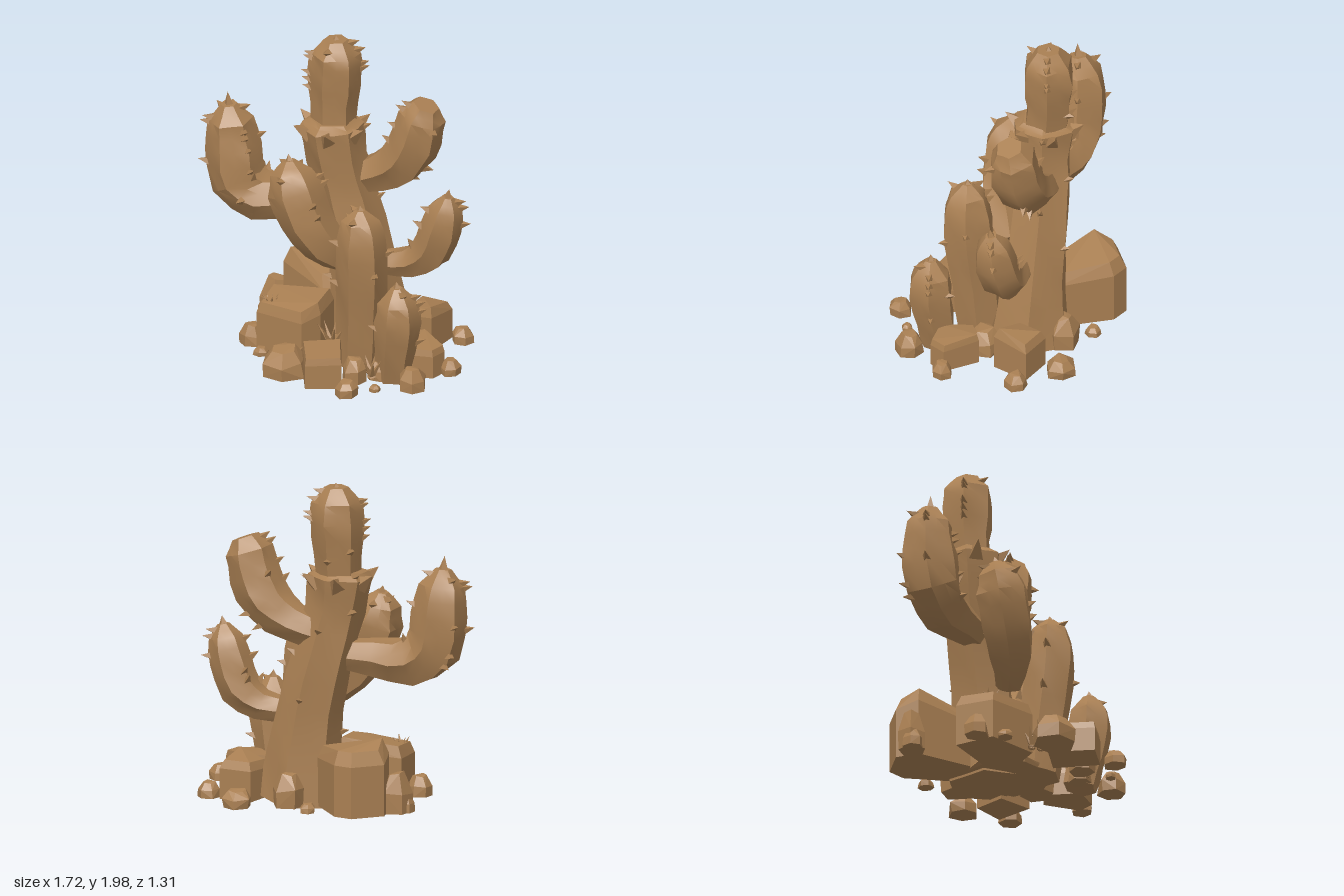
import * as THREE from 'three';
import { toCreasedNormals } from 'three/addons/utils/BufferGeometryUtils.js';
import { ConvexGeometry } from 'three/addons/geometries/ConvexGeometry.js';

const V = (x, y, z) => new THREE.Vector3(x, y, z);

export function createModel() {
  const model = new THREE.Group();
  const clay = new THREE.MeshStandardMaterial({ color: 0xaa8053 });
  clay.name = 'sandy brown';

  let seed = 7;
  const rnd = () => (seed = (seed * 16807) % 2147483647) / 2147483647;

  function add(parent, geometry, name) {
    const mesh = new THREE.Mesh(geometry, clay);
    mesh.name = name;
    parent.add(mesh);
    return mesh;
  }

  // Thorn or blade: a thin pyramid standing on pos and pointing along dir
  function spike(parent, pos, dir, radius, length, name = 'thorn') {
    const g = new THREE.ConeGeometry(radius, length, 4).toNonIndexed();
    g.translate(0, length / 2 - 0.015, 0);
    g.computeVertexNormals();
    const m = add(parent, g, name);
    m.position.copy(pos);
    m.quaternion.setFromUnitVectors(V(0, 1, 0), dir.clone().normalize());
  }

  // Ribbed limb; each row is x, y, z, radius
  function limb(name, rows, thorns, { sides = 12, rib = 0.89, tip = 0.05, from = 0.3 } = {}) {
    const group = new THREE.Group();
    group.name = name;
    const curve = new THREE.CatmullRomCurve3(rows.map(r => V(r[0], r[1], r[2])));
    const last = rows.length - 1, steps = last * 2;
    const frame = t => {
      const f = t * last, i = Math.min(Math.floor(f), last - 1);
      const r = THREE.MathUtils.lerp(rows[i][3], rows[i + 1][3], f - i);
      const T = curve.getTangent(t), N = V(0, 0, 1);
      N.addScaledVector(T, -T.z).normalize();
      return { P: curve.getPoint(t), T, N, B: T.clone().cross(N), r };
    };
    const around = (f, a) => f.N.clone().multiplyScalar(Math.cos(a)).addScaledVector(f.B, Math.sin(a));
    const rings = [];
    for (let i = 0; i <= steps; i++) {
      const f = frame(i / steps), ring = [];
      for (let j = 0; j < sides; j++) {
        const k = (j % 2 ? rib : 1.03) * (0.95 + 0.1 * rnd());
        const p = around(f, j / sides * Math.PI * 2).multiplyScalar(f.r * k).add(f.P);
        p.y = Math.max(p.y, 0.005);
        ring.push(p);
      }
      rings.push(ring);
    }
    const pts = [], start = frame(0).P, end = frame(1).P;
    for (let j = 0; j < sides; j++) {
      const n = (j + 1) % sides;
      for (let i = 0; i < steps; i++) {
        const a = rings[i][j], b = rings[i][n], c = rings[i + 1][n], d = rings[i + 1][j];
        pts.push(a, b, d, b, c, d);
      }
      pts.push(start, rings[0][n], rings[0][j], end, rings[steps][j], rings[steps][n]);
    }
    add(group, toCreasedNormals(new THREE.BufferGeometry().setFromPoints(pts), 0.5), name + 'Body');

    // Thorns scattered over the ribs
    for (let i = 0; i < thorns; i++) {
      const f = frame(from + (0.96 - from) * (i + 0.5) / thorns);
      const dir = around(f, Math.floor(rnd() * 6) * Math.PI / 3);
      spike(group, f.P.clone().addScaledVector(dir, f.r * 0.97), dir.addScaledVector(f.T, 0.3), 0.03, 0.07);
    }
    const f = frame(1);
    if (tip) spike(group, f.P, f.T, 0.035, tip + 0.015, 'tipThorn');
    model.add(group);
  }

  // Trunk: flared lower column with a ragged collar, and the crown growing out of it
  limb('trunk', [
    [0.16, 0.02, -0.18, 0.25], [0.125, 0.3, -0.185, 0.215], [0.08, 0.6, -0.185, 0.19],
    [0.0, 0.95, -0.17, 0.175], [-0.06, 1.2, -0.14, 0.175], [-0.085, 1.41, -0.13, 0.195],
    [-0.085, 1.45, -0.13, 0.13],
  ], 7, { tip: 0, from: 0.2 });
  limb('crown', [
    [-0.08, 1.3, -0.14, 0.13], [-0.085, 1.55, -0.16, 0.14], [-0.08, 1.75, -0.165, 0.16],
    [-0.075, 1.87, -0.165, 0.145], [-0.075, 1.96, -0.165, 0.07],
  ], 12, { tip: 0.025, from: 0.2 });
  for (let i = 0; i < 6; i++) {
    const a = i * Math.PI / 3 + 0.2, c = Math.cos(a), s = Math.sin(a);
    spike(model, V(-0.085 + 0.16 * c, 1.38, -0.13 + 0.16 * s), V(c, 0.7, s), 0.06, 0.12, 'collarThorn');
  }

  // Arms
  limb('rightArm', [
    [-0.05, 0.92, -0.12, 0.09], [-0.28, 0.91, -0.06, 0.115], [-0.5, 0.9, -0.01, 0.155],
    [-0.64, 1.0, 0.02, 0.175], [-0.675, 1.2, 0.02, 0.17], [-0.69, 1.38, 0.03, 0.135],
    [-0.695, 1.48, 0.04, 0.05],
  ], 16, { tip: 0.08, from: 0.35 });
  limb('frontArm', [
    [0.1, 0.6, 0.0, 0.08], [-0.01, 0.74, 0.11, 0.135], [-0.1, 0.9, 0.155, 0.16],
    [-0.165, 1.08, 0.17, 0.165], [-0.2, 1.19, 0.165, 0.12], [-0.215, 1.26, 0.16, 0.04],
  ], 8, { tip: 0.04 });
  limb('upperLeftArm', [
    [0.0, 1.05, -0.2, 0.09], [0.18, 1.115, -0.24, 0.12], [0.33, 1.22, -0.26, 0.15],
    [0.42, 1.38, -0.265, 0.155], [0.46, 1.53, -0.265, 0.14], [0.49, 1.61, -0.265, 0.08],
  ], 8, { tip: 0 });
  limb('lowerLeftArm', [
    [0.22, 0.55, -0.18, 0.07], [0.4, 0.575, -0.22, 0.095], [0.53, 0.67, -0.24, 0.125],
    [0.6, 0.83, -0.24, 0.13], [0.635, 0.97, -0.24, 0.1], [0.65, 1.05, -0.24, 0.035],
  ], 8, { tip: 0.05 });

  // Separate stems standing in front
  limb('frontStem', [
    [0.24, 0.02, 0.12, 0.14], [0.26, 0.35, 0.14, 0.145], [0.28, 0.65, 0.17, 0.155],
    [0.285, 0.85, 0.18, 0.15], [0.28, 0.98, 0.18, 0.11], [0.28, 1.05, 0.18, 0.03],
  ], 8, { tip: 0.03 });
  limb('smallStem', [
    [0.52, 0.02, 0.22, 0.1], [0.55, 0.2, 0.235, 0.12], [0.575, 0.4, 0.25, 0.135],
    [0.575, 0.53, 0.25, 0.12], [0.57, 0.63, 0.25, 0.035],
  ], 7, { tip: 0.04 });

  // Hewn boulder: convex hull over ground corners x, z, top height, drawn in toward the top
  function boulder(name, inset, corners) {
    const n = corners.length;
    const cx = corners.reduce((s, c) => s + c[0], 0) / n, cz = corners.reduce((s, c) => s + c[1], 0) / n;
    const pts = corners.flatMap(([x, z, h]) => [
      V(x, 0.02, z), V(x, h * 0.8, z), V(x + (cx - x) * inset, h, z + (cz - z) * inset)]);
    add(model, new ConvexGeometry(pts), name);
  }
  boulder('backBoulder', 0.2, [[-0.51, -0.37, 0.42], [-0.37, -0.53, 0.42], [-0.25, -0.52, 0.42],
    [0.01, -0.28, 0.39], [-0.13, -0.1, 0.39], [-0.47, -0.23, 0.47]]);
  boulder('frontBoulder', 0.12, [[-0.42, 0.02, 0.35], [-0.38, 0.27, 0.33], [-0.05, 0.31, 0.34],
    [0.01, 0.18, 0.37], [-0.02, -0.04, 0.38]]);
  boulder('frontBlock', 0.06, [[0.0, 0.39, 0.21], [0.2, 0.27, 0.22], [0.34, 0.52, 0.22], [0.15, 0.63, 0.21]]);
  boulder('leftBlock', 0.08, [[0.47, 0.0, 0.2], [0.57, -0.1, 0.22], [0.77, 0.02, 0.2], [0.75, 0.13, 0.2], [0.58, 0.18, 0.2]]);
  boulder('backBlock', 0.2, [[0.34, -0.24, 0.25], [0.36, -0.44, 0.26], [0.57, -0.44, 0.26], [0.56, -0.2, 0.3]]);

  // Faceted pebble: convex hull of three uneven rings
  function rock(x, z, w, h, d, turn = 0, sides = 6, name = 'pebble') {
    const pts = [];
    for (const [y, s] of [[0, 1], [0.55, 1], [1, 0.55]]) {
      for (let j = 0; j < sides; j++) {
        const a = (j + 0.5) / sides * Math.PI * 2, k = s * 0.53 * (1 - 0.18 * rnd());
        pts.push(V(Math.cos(a) * k * w, y ? h * (y - 0.14 * rnd()) : 0, Math.sin(a) * k * d));
      }
    }
    const m = add(model, new ConvexGeometry(pts), name);
    m.position.set(x, 0.02, z);
    m.rotation.y = turn;
  }
  rock(-0.07, 0.49, 0.28, 0.18, 0.27, 0.4, 6, 'frontRock');
  rock(0.12, -0.41, 0.2, 0.22, 0.2, 0.6, 5, 'backRock');
  rock(-0.52, -0.24, 0.2, 0.26, 0.18, 0.6, 5, 'rightRock');
  rock(0.15, -0.02, 0.6, 0.06, 0.52, 0.2, 7, 'bed');

  // Pebbles: x, z, width, height
  [[0.805, 0.01, 0.13, 0.1], [0.385, -0.565, 0.19, 0.11], [-0.06, -0.5, 0.1, 0.06],
    [0.65, -0.42, 0.14, 0.1], [0.405, 0.58, 0.15, 0.1], [0.53, 0.45, 0.07, 0.04],
    [0.71, 0.31, 0.17, 0.14], [0.35, 0.37, 0.16, 0.16], [-0.45, 0.2, 0.15, 0.13],
    [-0.32, 0.32, 0.1, 0.05], [0.43, -0.04, 0.22, 0.16],
    [0.46, 0.27, 0.14, 0.12], [-0.56, -0.2, 0.13, 0.12],
  ].forEach(([x, z, w, h], i) => rock(x, z, w, h, w, i * 1.3, 6));

  // Dry grass tufts: x, y, z, size
  for (const [x, y, z, size] of [[0.12, 0.14, 0.24, 0.2], [-0.32, 0.28, 0.2, 0.12], [0.44, 0.05, 0.33, 0.15], [-0.08, 0.05, 0.33, 0.13]]) {
    for (let i = 0; i < 7; i++) {
      const a = i * 0.9;
      spike(model, V(x, y, z), V(Math.cos(a) * 0.6, 1, Math.sin(a) * 0.6), 0.025, size * (0.8 + 0.3 * rnd()), 'grassBlade');
    }
  }
  return model;
}
